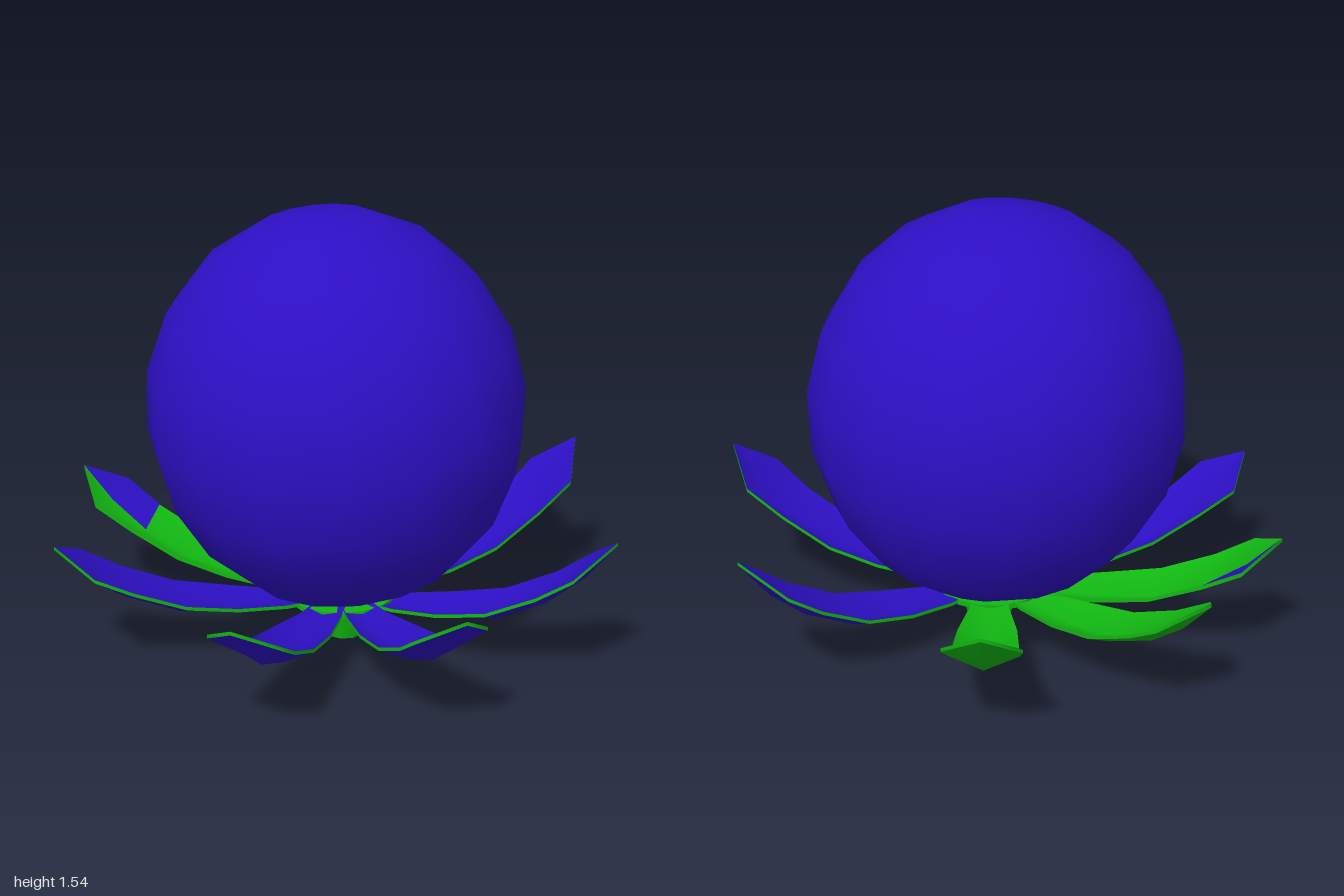
import * as THREE from 'three';

const blue = new THREE.MeshStandardMaterial({ color: 0x2d0fc4 });
const green = new THREE.MeshStandardMaterial({ color: 0x12b812 });
const rimGreen = new THREE.MeshStandardMaterial({ color: 0x12b812, side: THREE.DoubleSide });

// Leaf stations: fraction of length, share of rise, half width, edge lift
const STATIONS = [
  [0.05, 0, 0.045, 0],
  [0.22, -0.04, 0.07, 0.015],
  [0.4, -0.03, 0.1, 0.04],
  [0.58, 0.05, 0.11, 0.055],
  [0.76, 0.31, 0.115, 0.055],
  [0.89, 0.62, 0.127, 0.035],
  [1, 1, 0, 0],
];
const ROOT_Y = 0.165;
const THICK = 0.013;

// Surface through rows of points
function grid(rows, flip = false) {
  const n = rows[0].length;
  const index = [];
  for (let i = 0; i < rows.length - 1; i++) {
    for (let j = 0; j < n - 1; j++) {
      const a = i * n + j, b = a + 1, c = a + n, d = c + 1;
      if (flip) index.push(a, c, b, b, c, d);
      else index.push(a, b, c, b, d, c);
    }
  }
  const g = new THREE.BufferGeometry().setFromPoints(rows.flat());
  g.setIndex(index);
  g.computeVertexNormals();
  return g;
}

function add(parent, name, geometry, material) {
  const m = new THREE.Mesh(geometry, material);
  m.name = name;
  parent.add(m);
  return m;
}

// Channelled leaf reaching from the middle to the tip point
function makeLeaf(name, [tx, ty, tz], material, tipPatch) {
  const leaf = new THREE.Group();
  leaf.name = name;
  const len = Math.hypot(tx, tz), dx = tx / len, dz = tz / len;
  const rows = (offset) => STATIONS.map(([r, f, w, lift]) => [-1, 0, 1].map((s) => new THREE.Vector3(
    dx * r * len - dz * s * w,
    ROOT_Y + f * (ty - ROOT_Y) + Math.abs(s) * lift + offset,
    dz * r * len + dx * s * w)));
  const top = rows(0), under = rows(-THICK);
  add(leaf, 'leafTop', grid(top), material);
  add(leaf, 'leafUnderside', grid(under, true), material);
  // Green rim all round the outline
  const outline = (s) => [...s.map((r) => r[0]), ...s.slice(0, -1).reverse().map((r) => r[2])];
  add(leaf, 'leafRim', grid([outline(top), outline(under)]), rimGreen);
  if (tipPatch) {
    const patch = rows(0.003).slice(4).map((r) => r.slice(1));
    add(leaf, 'tipPatch', grid(patch), blue);
  }
  return leaf;
}

export function createModel() {
  const model = new THREE.Group();
  model.name = 'berryFlower';

  // Round body, slightly tall and leaning
  const body = add(model, 'body', new THREE.SphereGeometry(1, 16, 10), blue);
  body.scale.set(0.648, 0.695, 0.65);
  body.position.set(-0.018, 0.85, -0.012);
  body.rotation.z = 0.12;

  // Disc and tapered stem underneath
  const disc = add(model, 'calyxDisc', new THREE.CylinderGeometry(0.195, 0.195, 0.02, 16), green);
  disc.position.set(0, 0.155, -0.01);
  const stem = add(model, 'stem', new THREE.CylinderGeometry(0.108, 0.073, 0.15, 10), [green, green, blue]);
  stem.position.set(0.012, 0.075, -0.01);

  // Ring of eight leaves, given by their tips
  const leaves = [
    ['leftLeaf', [0.99, 0.55, -0.1], blue],
    ['frontLeftLeaf', [0.655, 0.535, 0.74], blue],
    ['frontLeaf', [-0.03, 0.505, 0.99], blue],
    ['frontRightLeaf', [-0.695, 0.485, 0.72], blue],
    ['rightLeaf', [-1, 0.47, -0.12], blue],
    ['backRightLeaf', [-0.705, 0.48, -0.735], green, true],
    ['backLeaf', [-0.225, 0.505, -1], green],
    ['backLeftLeaf', [0.53, 0.54, -0.87], green],
  ];
  for (const [name, tip, material, patch] of leaves) model.add(makeLeaf(name, tip, material, patch));
  return model;
}
